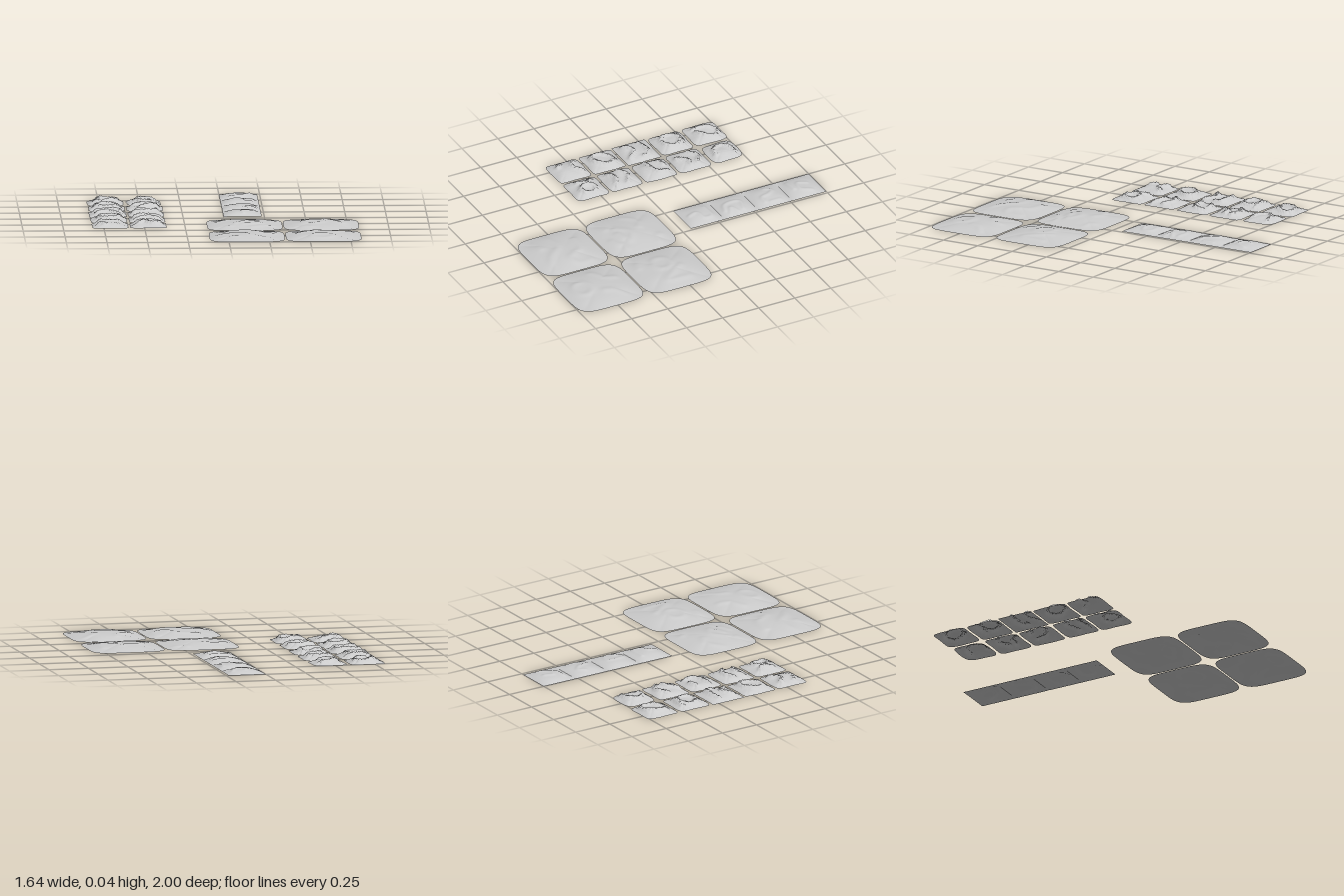
import * as THREE from 'three';

const material = new THREE.MeshStandardMaterial({ color: 0xcccccc, side: THREE.DoubleSide });

// closed oval ridge in tile coordinates (-1..1), tilted by an angle
function ring(cx, cy, rx, ry, tilt = 0) {
  const pts = [];
  for (let i = 0; i <= 10; i++) {
    const a = (i / 10) * Math.PI * 2, x = Math.cos(a) * rx, y = Math.sin(a) * ry;
    pts.push([cx + x * Math.cos(tilt) - y * Math.sin(tilt), cy + x * Math.sin(tilt) + y * Math.cos(tilt)]);
  }
  return pts;
}

// repeatable value between -1 and 1
function hash(i, j, seed) {
  const s = Math.sin(i * 127.1 + j * 311.7 + seed * 74.7) * 43758.5453;
  return (s - Math.floor(s)) * 2 - 1;
}

// distance from a point to a polyline
function pathDistance(x, y, pts) {
  let best = 9;
  for (let i = 0; i + 1 < pts.length; i++) {
    const [ax, ay] = pts[i], dx = pts[i + 1][0] - ax, dy = pts[i + 1][1] - ay;
    const t = Math.min(1, Math.max(0, ((x - ax) * dx + (y - ay) * dy) / (dx * dx + dy * dy)));
    best = Math.min(best, Math.hypot(x - ax - t * dx, y - ay - t * dy));
  }
  return best;
}

// smooth curve through control points, sampled for distance tests
function smoothPath(pts) {
  const curve = new THREE.CatmullRomCurve3(pts.map(([x, y]) => new THREE.Vector3(x, y, 0)));
  return curve.getPoints(pts.length * 3).map(p => [p.x, p.y]);
}

// open domed ground sheet with a superellipse outline and raised ridges
function tile(name, cx, cz, half, ridges, o) {
  const n = o.segments;
  const paths = ridges.map(smoothPath);
  const geo = new THREE.PlaneGeometry(2, 2, n, n).rotateX(-Math.PI / 2);
  const pos = geo.attributes.position;
  for (let k = 0; k < pos.count; k++) {
    const u = pos.getX(k), v = pos.getZ(k);
    const m = Math.max(Math.abs(u), Math.abs(v));
    const q = m < 1e-6 ? 1 : m / Math.pow(Math.pow(Math.abs(u), o.round) + Math.pow(Math.abs(v), o.round), 1 / o.round);
    const fade = Math.max(0, (1 - Math.abs(u) ** o.power) * (1 - Math.abs(v) ** o.power));
    const wobble = 1 + o.wobble * (Math.sin(u * 4 + o.seed * 2) + Math.sin(v * 5 + o.seed)) / 2;
    const x = u * q * wobble, z = v * q * wobble;
    // ridges, gentle swells and rough crests
    let crest = 0;
    for (const p of paths) crest = Math.max(crest, Math.exp(-((pathDistance(u, v, p) / o.width) ** 2)));
    const rough = hash(k % (n + 1), Math.floor(k / (n + 1)), o.seed);
    const swell = Math.sin(u * 4.3 + o.seed) * Math.sin(v * 3.7 + o.seed * 1.7) * o.swell;
    const lift = crest * o.ridge * (1 + rough * o.rough) + swell + rough * o.rough * 0.0015;
    const y = Math.max(0, fade * o.height + Math.min(1, fade * 1.6) * lift);
    pos.setXYZ(k, x * half + (o.skew || 0) * z * half, y, z * half);
  }
  geo.computeVertexNormals();
  const mesh = new THREE.Mesh(geo, material);
  mesh.name = name;
  mesh.position.set(cx, 0, cz);
  return mesh;
}

export function createModel() {
  const model = new THREE.Group();
  model.name = 'terrainTiles';

  // four large smooth mounds
  const largeRidges = [
    [[[-0.3, 0.35], [0.05, 0.05], [0.4, 0.25], [0, 0.4]], [[-0.75, -0.1], [-0.4, -0.4], [-0.1, -0.3]],
      [[0.45, -0.65], [0.75, -0.5]], [[-0.75, 0.7], [-0.4, 0.6]], [[0.2, 0.7], [0.7, 0.5]]],
    [ring(-0.2, 0.05, 0.28, 0.25), [[0.1, -0.35], [0.35, 0], [0.6, 0.25], [0.65, -0.4]], [[-0.7, 0.65], [-0.3, 0.7]]],
    [[[-0.85, 0.15], [-0.2, 0.05], [0.2, 0.45], [0.75, 0.7]], [[-0.4, -0.55], [0.15, -0.45], [0.45, 0], [0.75, -0.1], [0.75, -0.55]],
      [[-0.7, 0.6], [-0.3, 0.5]]],
    [ring(-0.05, 0.45, 0.3, 0.24), [[0.7, -0.55], [0.4, -0.3], [0.3, -0.05]], [[-0.65, -0.1], [-0.25, -0.4], [-0.2, -0.6]]]
  ];
  const large = new THREE.Group();
  large.name = 'largeMounds';
  largeRidges.forEach((r, i) => large.add(tile('largeMound' + (i + 1), 0.117 + 0.47 * (i % 2), 0.293 + 0.473 * Math.floor(i / 2), 0.232, r,
    { segments: 56, round: 5, power: 2.2, height: 0.026, ridge: 0.0045, width: 0.11, swell: 0.0012, rough: 0, wobble: 0, seed: i + 1 })));
  model.add(large);

  // strip of four square mounds, edge to edge
  const stripRidges = [
    [[[-0.05, -0.35], [-0.2, 0.1], [0.35, 0.2], [0.65, -0.35]], [[-0.5, 0.6], [0.2, 0.5]]],
    [[[-0.5, -0.1], [-0.25, -0.4], [0.05, -0.1], [0.2, 0.4], [0.6, 0.4]], [[0.7, -0.45], [0.7, 0.1]]],
    [[[0.65, -0.3], [-0.05, -0.4], [-0.05, 0.5], [0.4, 0.7]], [[0.75, 0.05], [0.35, 0.3], [0.75, 0.5]]],
    [[[-0.4, -0.5], [0.5, -0.5], [0.55, -0.05], [0, 0.15], [0.05, 0.6]]]
  ];
  const strip = new THREE.Group();
  strip.name = 'moundStrip';
  stripRidges.forEach((r, i) => strip.add(tile('stripMound' + (i + 1), 0.117, -0.883 + 0.235 * i, 0.1175, r,
    { segments: 44, round: 80, power: 2.4, height: 0.023, ridge: 0.005, width: 0.12, swell: 0.001, rough: 0, wobble: 0, seed: i + 5 })));
  model.add(strip);

  // ten small rugged mounds in two columns
  const smallRidges = [
    [[[-0.5, 0.5], [-0.35, -0.35], [0.2, -0.7], [0.6, -0.45], [0.45, 0.15], [-0.1, 0.5]]],
    [[[0.6, -0.6], [0, -0.45], [-0.45, 0], [-0.2, 0.5], [0.3, 0.6]]],
    [ring(0, 0, 0.58, 0.52), [[-0.6, -0.6], [0.6, -0.55]]],
    [[[-0.6, -0.25], [0, -0.6], [0.6, -0.3]], [[-0.25, 0.65], [0.15, 0.2], [0.6, 0.1]]],
    [[[-0.6, -0.4], [0, -0.5], [0.65, -0.4], [0.7, -0.1]], [[-0.55, 0.55], [0, 0.2], [0.55, 0.65]]],
    [[[0.6, -0.6], [0.5, -0.05], [-0.2, 0.25], [-0.7, 0.3]], [[-0.5, -0.5], [-0.1, -0.6]]],
    [ring(0, 0, 0.68, 0.45, -0.8)],
    [[[-0.7, -0.15], [0, -0.45], [0.65, -0.15]], [[-0.6, 0.55], [0, 0.3], [0.7, 0.6]]],
    [[[-0.55, -0.5], [0, -0.25], [0.55, -0.65]], [[-0.6, 0.3], [-0.3, 0.5]]],
    [ring(0.3, 0, 0.38, 0.45), [[-0.6, -0.55], [-0.25, -0.2], [-0.5, 0.3]]]
  ];
  const roundness = [7, 5, 8, 8, 80, 8, 12, 9, 10, 8];
  const small = new THREE.Group();
  small.name = 'smallMounds';
  smallRidges.forEach((r, i) => small.add(tile('smallMound' + (i + 1), -0.71 + 0.235 * (i % 2), -0.65 + 0.236 * Math.floor(i / 2),
    i === 4 ? 0.115 : i === 1 ? 0.106 : 0.111, r,
    { segments: 44, round: roundness[i], power: 3, height: 0.024, ridge: 0.014, width: 0.15, swell: 0.003, rough: 0.3,
      wobble: i === 4 ? 0 : 0.025, skew: i === 1 ? 0.06 : 0, seed: i + 9 })));
  model.add(small);
  return model;
}
